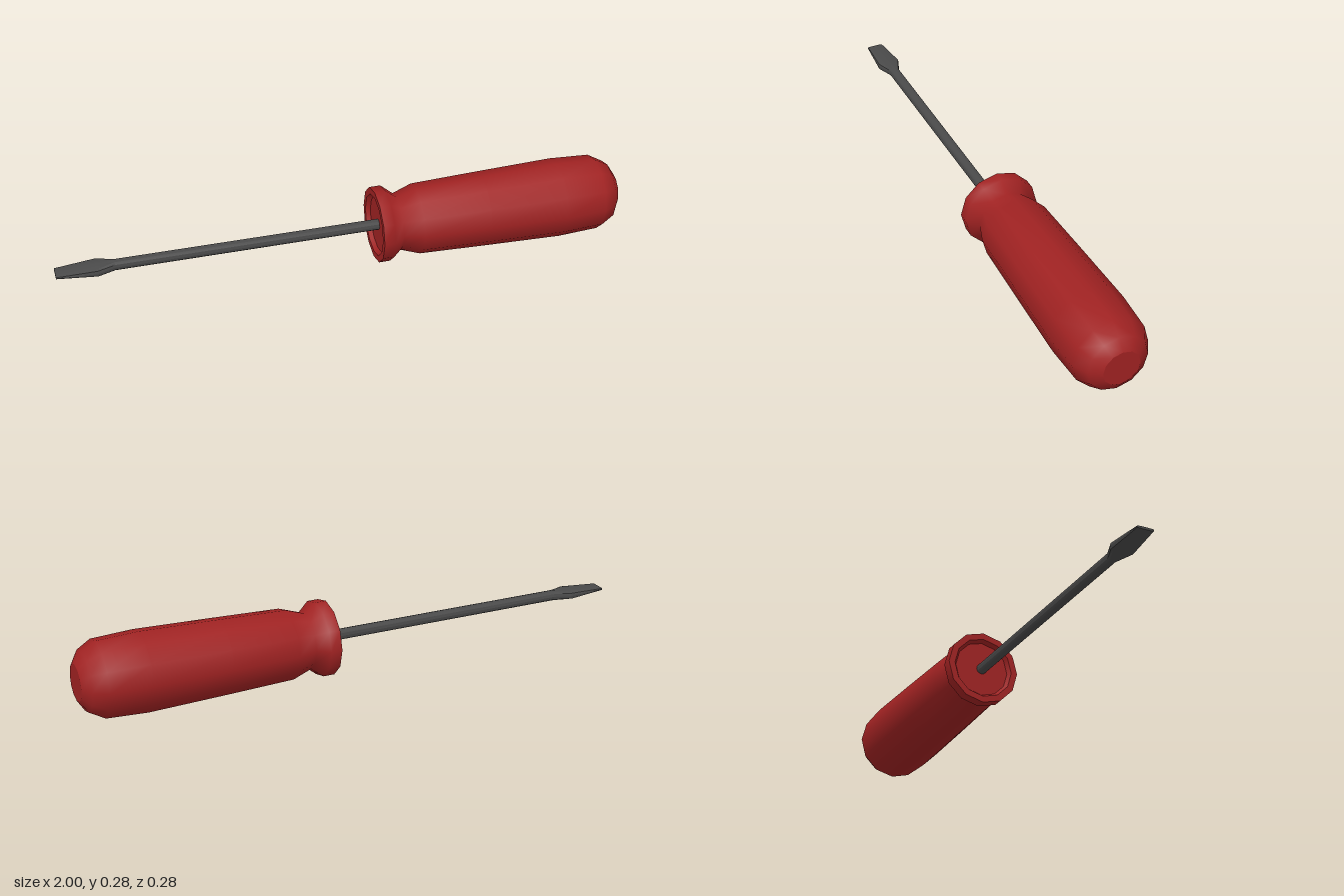
import * as THREE from 'three';
import { toCreasedNormals } from 'three/addons/utils/BufferGeometryUtils.js';

const AXIS_Y = 0.141;

// Handle profile [radius, position along the tool]; repeated points keep an edge sharp
const HANDLE = [
  [0, 0.125], [0.1, 0.125], [0.1, 0.125], [0.11, 0.11], [0.11, 0.11],
  [0.133, 0.11], [0.133, 0.11], [0.133, 0.15], [0.1, 0.19], [0.124, 0.26],
  [0.132, 0.5], [0.14, 0.78], [0.133, 0.925], [0.105, 0.975],
  [0.065, 1], [0.065, 1], [0, 1],
];

// Shaft sections from tip to handle: [position, half thickness, half width]
const SHAFT = [
  [-1, 0.004, 0.03], [-0.86, 0.014, 0.041], [-0.8, 0.019, 0.019], [0.14, 0.019, 0.019],
];

function handleGeometry() {
  return new THREE.LatheGeometry(HANDLE.map(([r, y]) => new THREE.Vector2(r, y)), 12);
}

// A round rod whose end rows are squashed into the flat blade
function shaftGeometry() {
  const rows = SHAFT.length - 1;
  const geo = new THREE.CylinderGeometry(1, 1, rows, 12, rows);
  const pos = geo.attributes.position;
  for (let i = 0; i < pos.count; i++) {
    const [along, thick, wide] = SHAFT[Math.round(pos.getY(i) + rows / 2)];
    // blade rows get squarer corners
    const k = wide > thick ? 0.4 : 1;
    const square = (v) => (Math.abs(v) < 1e-6 ? 0 : Math.sign(v) * Math.abs(v) ** k);
    pos.setXYZ(i, square(pos.getX(i)) * thick, along, square(pos.getZ(i)) * wide);
  }
  return toCreasedNormals(geo, 0.6);
}

export function createModel() {
  const model = new THREE.Group();
  model.name = 'screwdriver';

  const addPart = (name, geometry, color) => {
    const mesh = new THREE.Mesh(geometry, new THREE.MeshStandardMaterial({ color }));
    mesh.name = name;
    mesh.rotation.z = -Math.PI / 2; // lay the part's axis along x
    mesh.position.y = AXIS_Y;
    model.add(mesh);
  };

  addPart('handle', handleGeometry(), 0xa02222);
  addPart('shaftAndBlade', shaftGeometry(), 0x4a4a4a);
  return model;
}
